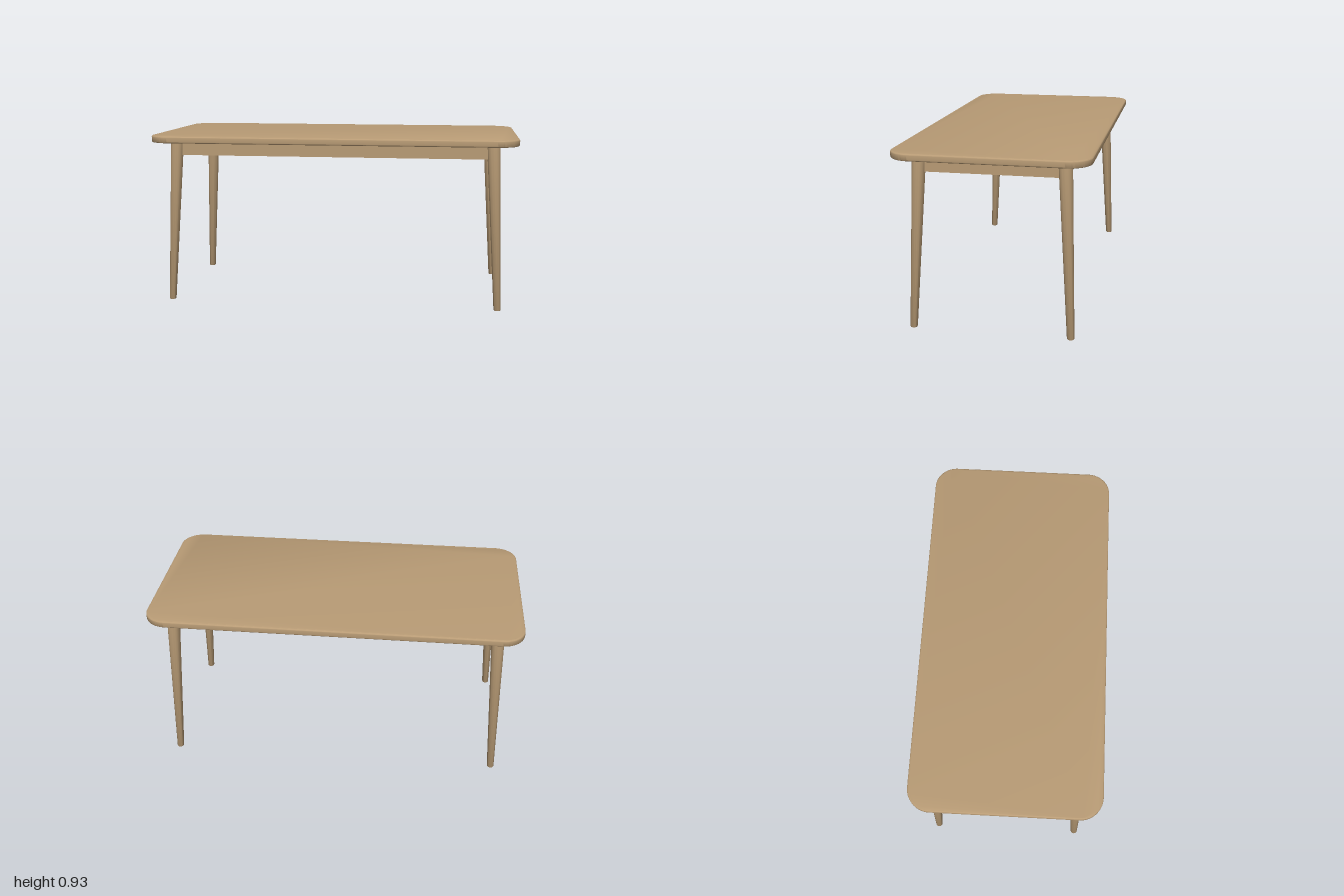
import * as THREE from 'three';
import { toCreasedNormals } from 'three/addons/utils/BufferGeometryUtils.js';

const HEIGHT = 0.927, UNDERSIDE = 0.89;

// Rounded rectangle with quarter-circle corners
function roundedRect(hx, hz, r) {
  const s = new THREE.Shape();
  s.absarc(hx - r, hz - r, r, 0, Math.PI / 2);
  s.absarc(-hx + r, hz - r, r, Math.PI / 2, Math.PI);
  s.absarc(-hx + r, -hz + r, r, Math.PI, Math.PI * 1.5);
  s.absarc(hx - r, -hz + r, r, Math.PI * 1.5, Math.PI * 2);
  s.closePath();
  return s;
}

// Table top slab with softened edges
function topGeometry() {
  const b = 0.008;
  const geo = new THREE.ExtrudeGeometry(roundedRect(1 - b, 0.5 - b, 0.12 - b), {
    depth: HEIGHT - UNDERSIDE - 2 * b, bevelEnabled: true,
    bevelSize: b, bevelThickness: b, bevelSegments: 4, curveSegments: 16,
  });
  geo.rotateX(-Math.PI / 2);
  geo.translate(0, UNDERSIDE + b, 0);
  return toCreasedNormals(geo, 0.6);
}

// Tapered round leg, splayed outwards towards the floor
function legGeometry(sx, sz) {
  const profile = [[0, 0], [0.017, 0], [0.019, 0.004], [0.035, UNDERSIDE], [0, UNDERSIDE]]
    .map(([r, y]) => new THREE.Vector2(r, y));
  const geo = new THREE.LatheGeometry(profile, 32);
  const p = geo.attributes.position;
  for (let i = 0; i < p.count; i++) {
    const splay = 0.042 * (1 - p.getY(i) / UNDERSIDE);
    p.setX(i, p.getX(i) + sx * (0.865 + splay));
    p.setZ(i, p.getZ(i) + sz * (0.365 + splay));
  }
  return toCreasedNormals(geo, 0.6);
}

export function createModel() {
  const table = new THREE.Group();
  table.name = 'table';
  const wood = new THREE.MeshStandardMaterial({ color: 0xb89b75 });
  wood.name = 'lightWood';

  const add = (name, geo) => {
    const mesh = new THREE.Mesh(geo, wood);
    mesh.name = name;
    table.add(mesh);
    return mesh;
  };

  add('tableTop', topGeometry());

  for (const sx of [-1, 1])
    for (const sz of [-1, 1])
      add((sz > 0 ? 'front' : 'back') + (sx > 0 ? 'Left' : 'Right') + 'Leg', legGeometry(sx, sz));

  // Apron rails joining the legs under the top
  const railH = 0.075, railT = 0.025, railY = UNDERSIDE - railH / 2;
  for (const s of [-1, 1]) {
    add(s > 0 ? 'frontApron' : 'backApron', new THREE.BoxGeometry(1.72, railH, railT))
      .position.set(0, railY, s * 0.365);
    add(s > 0 ? 'leftApron' : 'rightApron', new THREE.BoxGeometry(railT, railH, 0.72))
      .position.set(s * 0.865, railY, 0);
  }
  return table;
}
